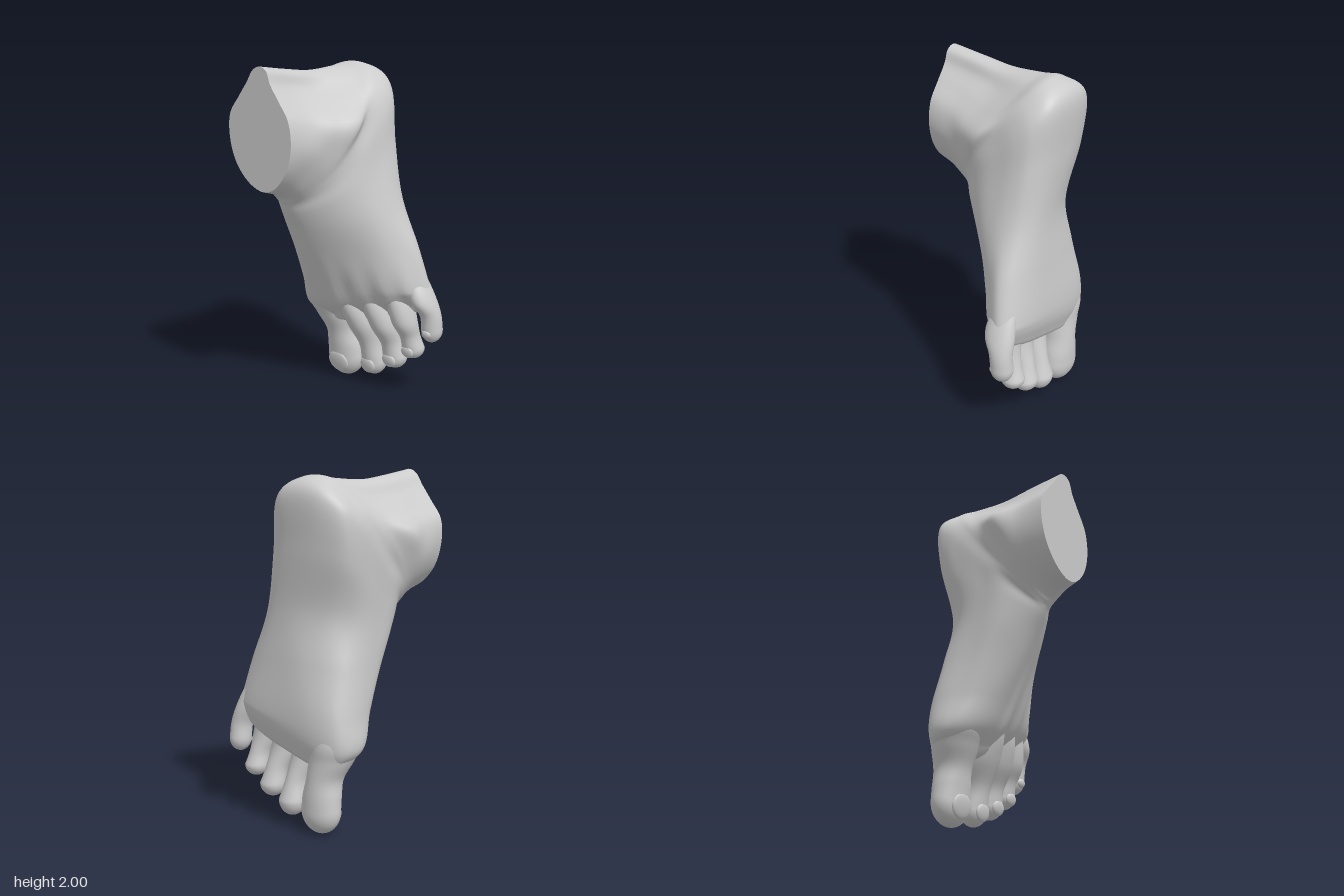
import * as THREE from 'three';

const material = new THREE.MeshStandardMaterial({ color: 0xcccccc });
const v = (x, y, z) => new THREE.Vector3(x, y, z);
const RING = 96;

// Skins a list of equal-length rings with a smooth surface.
function skin(rings) {
  const n = rings[0].length, index = [];
  for (let i = 0; i < rings.length - 1; i++) {
    for (let j = 0; j < n; j++) {
      const k = (j + 1) % n;
      const a = i * n + j, b = i * n + k, c = a + n, d = b + n;
      index.push(a, c, b, b, c, d);
    }
  }
  const geo = new THREE.BufferGeometry().setFromPoints(rings.flat());
  geo.setIndex(index);
  geo.computeVertexNormals();
  return geo;
}

function mesh(name, geo) {
  const m = new THREE.Mesh(geo, material);
  m.name = name;
  return m;
}

// Positions across a section, from instep (0) to heel or sole (1).
const STEPS = [0.05, 0.2, 0.4, 0.6, 0.75, 0.87, 0.97];

// Sections fan round the instep: instep [y, z, x], outer [y, z, x],
// outer-side x and inner-side x at each step, slant of y across x.
const legSections = [
  [[1.31, 0.43, -0.17], [2.0, 0.43, -0.185], [-0.08, 0.005, 0.042, 0.022, -0.05, -0.11, -0.14], [-0.28, -0.385, -0.435, -0.43, -0.355, -0.29, -0.24]],
  [[1.285, 0.35, -0.17], [1.97, 0.22, -0.19], [-0.07, 0.015, 0.068, 0.05, -0.035, -0.11, -0.14], [-0.28, -0.39, -0.45, -0.44, -0.36, -0.295, -0.25]],
  [[1.255, 0.3, -0.17], [1.95, 0.03, -0.19], [-0.06, 0.03, 0.09, 0.11, 0.02, -0.08, -0.13], [-0.28, -0.39, -0.46, -0.483, -0.385, -0.3, -0.25]],
  [[1.23, 0.28, -0.17], [1.962, -0.17, -0.17], [-0.06, 0.045, 0.12, 0.157, 0.085, 0, -0.08], [-0.28, -0.39, -0.435, -0.43, -0.38, -0.315, -0.25]],
  [[1.21, 0.265, -0.17], [1.978, -0.3, -0.13], [-0.06, 0.06, 0.125, 0.13, 0.11, 0.065, -0.02], [-0.28, -0.39, -0.415, -0.42, -0.395, -0.33, -0.245]],
  [[1.19, 0.255, -0.17], [1.89, -0.415, -0.13], [-0.06, 0.075, 0.145, 0.155, 0.148, 0.115, 0.03], [-0.27, -0.385, -0.415, -0.428, -0.425, -0.395, -0.29]],
];
const footSections = [
  [[1.15, 0.235, -0.17], [1.6, -0.41, -0.1], [-0.06, 0.085, 0.165, 0.18, 0.175, 0.145, 0.05], [-0.27, -0.375, -0.4, -0.41, -0.405, -0.375, -0.25]],
  [[1.05, 0.18, -0.17], [1.25, -0.388, 0.02], [-0.06, 0.09, 0.2, 0.24, 0.24, 0.21, 0.13], [-0.27, -0.365, -0.385, -0.375, -0.33, -0.26, -0.12]],
  [[0.88, 0.095, -0.18], [0.95, -0.405, 0.03], [-0.07, 0.09, 0.24, 0.315, 0.345, 0.315, 0.21], [-0.27, -0.36, -0.385, -0.388, -0.365, -0.3, -0.16]],
  [[0.7, 0, -0.19], [0.7, -0.425, 0], [-0.08, 0.11, 0.29, 0.378, 0.403, 0.375, 0.27], [-0.29, -0.37, -0.405, -0.415, -0.4, -0.36, -0.24], 0.05],
  [[0.58, -0.075, -0.19], [0.58, -0.42, 0], [-0.08, 0.12, 0.305, 0.385, 0.405, 0.378, 0.27], [-0.3, -0.385, -0.425, -0.428, -0.41, -0.365, -0.25], 0.2],
  [[0.49, -0.165, -0.17], [0.47, -0.385, 0], [-0.08, 0.08, 0.24, 0.33, 0.355, 0.335, 0.25], [-0.24, -0.3, -0.33, -0.34, -0.34, -0.31, -0.22], 0.25],
];

function sectionPoints([inner, outer, lateral, medial, slant = 0]) {
  const at = (t, x) => v(x,
    THREE.MathUtils.lerp(inner[0], outer[0], t) + slant * x,
    THREE.MathUtils.lerp(inner[1], outer[1], t));
  return [
    at(0, inner[2]),
    ...STEPS.map((t, i) => at(t, lateral[i])),
    at(1, outer[2]),
    ...STEPS.map((t, i) => at(t, medial[i])).reverse(),
  ];
}

// Raises soft ridges on top of the forefoot that lead into the toes.
function addRidge(p) {
  const { smoothstep } = THREE.MathUtils;
  const along = 1 - smoothstep(p.y, 0.55, 0.95);
  const top = smoothstep(p.z, -0.32, -0.2);
  const spread = 1 - 0.45 * (p.y - 0.6);
  for (const x of [-0.07, 0.085, 0.235, 0.37]) {
    p.z += 0.024 * along * top * Math.exp(-(((p.x - x * spread) / 0.045) ** 2));
  }
  return p;
}

function bodyRings() {
  const sections = [...legSections, ...footSections].map(sectionPoints);
  const rails = sections[0].map((_, j) =>
    new THREE.CatmullRomCurve3(sections.map(s => s[j]), false, 'catmullrom', 0.5));
  const rings = [], count = 100;
  for (let i = 0; i <= count; i++) {
    const loop = new THREE.CatmullRomCurve3(rails.map(r => r.getPoint(i / count)), true, 'centripetal');
    rings.push(loop.getPoints(RING).slice(0, RING).map(addRidge));
  }
  // Rounded closure behind the toes
  const last = rings[rings.length - 1];
  const centre = last.reduce((s, p) => s.add(p), v(0, 0, 0)).divideScalar(RING);
  for (const [scale, drop] of [[0.93, 0.018], [0.8, 0.034], [0.55, 0.045], [0.01, 0.05]]) {
    rings.push(last.map(p => p.clone().lerp(centre, 1 - scale).add(v(0, -drop, 0))));
  }
  return rings;
}

// Toe keys from root to pad: [y, x, z, half width, half depth]; tip is its lowest y.
const toes = [
  { name: 'bigToe', tip: 0.005, nail: [0.078, 0.07], keys: [
    [0.76, -0.27, -0.24, 0.08, 0.1], [0.55, -0.285, -0.25, 0.138, 0.152], [0.43, -0.262, -0.275, 0.128, 0.13],
    [0.32, -0.238, -0.305, 0.104, 0.107], [0.22, -0.228, -0.318, 0.118, 0.1], [0.135, -0.225, -0.324, 0.126, 0.094]] },
  { name: 'secondToe', tip: 0.06, nail: [0.055, 0.052], keys: [
    [0.74, -0.09, -0.18, 0.05, 0.09], [0.56, -0.06, -0.215, 0.075, 0.12], [0.41, -0.035, -0.245, 0.084, 0.095],
    [0.27, -0.012, -0.3, 0.064, 0.074], [0.15, -0.005, -0.335, 0.08, 0.078]] },
  { name: 'thirdToe', tip: 0.14, nail: [0.05, 0.044], keys: [
    [0.78, 0.05, -0.23, 0.05, 0.08], [0.59, 0.09, -0.24, 0.072, 0.11], [0.43, 0.122, -0.265, 0.08, 0.09],
    [0.31, 0.142, -0.315, 0.064, 0.07], [0.215, 0.153, -0.342, 0.076, 0.074]] },
  { name: 'fourthToe', tip: 0.235, nail: [0.044, 0.038], keys: [
    [0.82, 0.18, -0.27, 0.045, 0.07], [0.64, 0.232, -0.272, 0.066, 0.095], [0.48, 0.265, -0.285, 0.073, 0.086],
    [0.38, 0.28, -0.322, 0.058, 0.068], [0.3, 0.288, -0.346, 0.068, 0.07]] },
  { name: 'littleToe', tip: 0.362, nail: [0.033, 0.028], keys: [
    [0.88, 0.25, -0.31, 0.04, 0.05], [0.73, 0.335, -0.312, 0.056, 0.08], [0.62, 0.38, -0.32, 0.066, 0.092],
    [0.53, 0.41, -0.348, 0.06, 0.07], [0.44, 0.414, -0.36, 0.062, 0.067]] },
];

function toeGeometry({ keys, tip }) {
  const centres = new THREE.CatmullRomCurve3(keys.map(k => v(k[1], k[0], k[2])), false, 'catmullrom', 0.5);
  const radii = new THREE.CatmullRomCurve3(keys.map(k => v(k[3], k[4], 0)), false, 'catmullrom', 0.5);
  const sides = 36, rings = [];
  const addRing = (c, rx, rz) => rings.push(Array.from({ length: sides }, (_, j) => {
    const a = (j / sides) * Math.PI * 2;
    return v(c.x + rx * Math.cos(a), c.y, c.z - rz * Math.sin(a));
  }));
  for (let i = 0; i <= 32; i++) {
    const r = radii.getPoint(i / 32);
    addRing(centres.getPoint(i / 32), r.x, r.y);
  }
  // Domed tip
  const [y, x, z, rx, rz] = keys[keys.length - 1];
  for (let i = 1; i <= 12; i++) {
    const a = (i / 12) * Math.PI / 2, s = Math.max(Math.cos(a), 0.005);
    addRing(v(x, y - (y - tip) * Math.sin(a), z), rx * s, rz * s);
  }
  return skin(rings);
}

export function createModel() {
  const model = new THREE.Group();
  model.name = 'foot';

  // Ankle, heel, arch and forefoot in one skin
  const rings = bodyRings();
  model.add(mesh('footBody', skin(rings)));

  // Flat cut through the leg
  const cut = mesh('ankleCut', new THREE.ShapeGeometry(
    new THREE.Shape(rings[0].map(p => new THREE.Vector2(p.x, p.y)))));
  cut.position.z = rings[0][0].z;
  model.add(cut);

  // Toes with their nails
  for (const toe of toes) {
    const group = new THREE.Group();
    group.name = toe.name;
    group.add(mesh('toe', toeGeometry(toe)));
    const [y, x, z, , rz] = toe.keys[toe.keys.length - 1];
    const nail = mesh('toenail', new THREE.SphereGeometry(1, 24, 16));
    nail.scale.set(toe.nail[0], toe.nail[1], 0.018);
    nail.position.set(x, y - 0.22 * (y - toe.tip), z + rz * 0.84);
    nail.rotation.x = 0.2;
    group.add(nail);
    model.add(group);
  }
  return model;
}
